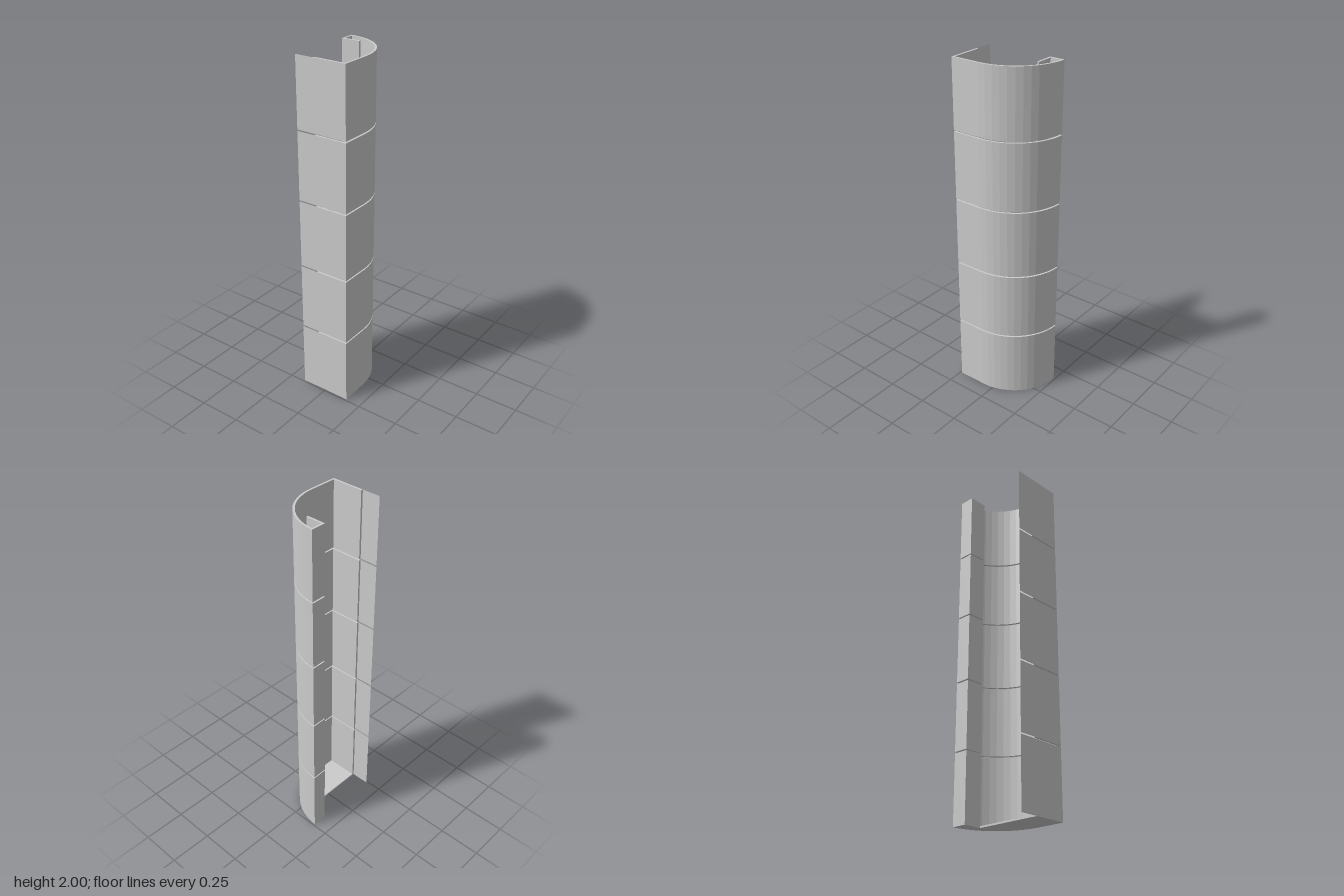
import * as THREE from 'three';

const SEGMENTS = 5, GAP = 0.008, HEIGHT = (2 - 4 * GAP) / SEGMENTS;
const WALL = 0.012, FLOOR = 0.01;
const LEFT = -0.24, RIGHT = 0.24, FRONT = 0.153, BACK = -0.155;
const LIP = 0.152, OPENING = -0.045; // return lip x, and z of the open back edge
const RADIUS = FRONT - BACK, CX = RIGHT - RADIUS;

// Plan outline [x, z] from the flat side, along the front, round the corner to the lip
function outline(inset) {
  const pts = [[LEFT + inset, OPENING], [LEFT + inset, FRONT - inset]];
  const r = RADIUS - inset, steps = 12;
  const end = Math.acos(inset / r); // stop at the face of the back strip
  for (let i = 0; i <= steps; i++) {
    const a = (i / steps) * end;
    pts.push([CX + r * Math.sin(a), BACK + r * Math.cos(a)]);
  }
  pts.push([LIP + inset, BACK + inset], [LIP + inset, OPENING]);
  return pts;
}

// Extrude a plan outline upwards
function extrudePlan(pts, depth) {
  const shape = new THREE.Shape(pts.map(([x, z]) => new THREE.Vector2(x, -z)));
  return new THREE.ExtrudeGeometry(shape, { depth, bevelEnabled: false }).rotateX(-Math.PI / 2);
}

export function createModel() {
  const group = new THREE.Group();
  const material = new THREE.MeshStandardMaterial({ color: 0xcccccc, flatShading: true });
  const thin = new THREE.MeshStandardMaterial({ color: 0xcccccc, side: THREE.DoubleSide });

  const add = (name, geometry, mat, x, y, z) => {
    const mesh = new THREE.Mesh(geometry, mat);
    mesh.name = name;
    mesh.position.set(x, y, z);
    group.add(mesh);
  };

  const shell = extrudePlan([...outline(0), ...outline(WALL).reverse()], HEIGHT);
  const fin = new THREE.PlaneGeometry(OPENING - BACK, HEIGHT).rotateY(-Math.PI / 2);

  // Stacked wall panels with narrow open joints
  for (let i = 0; i < SEGMENTS; i++) {
    const y = i * (HEIGHT + GAP);
    add('wallPanel' + (i + 1), shell, material, 0, y, 0);
    // Paper-thin sheet carrying the flat side on to the back
    add('sideSheet' + (i + 1), fin, thin, LEFT, y + HEIGHT / 2, (OPENING + BACK) / 2);
  }

  // Bottom plate closing the lowest panel
  add('floor', extrudePlan(outline(WALL), FLOOR), material, 0, 0, 0);
  return group;
}
